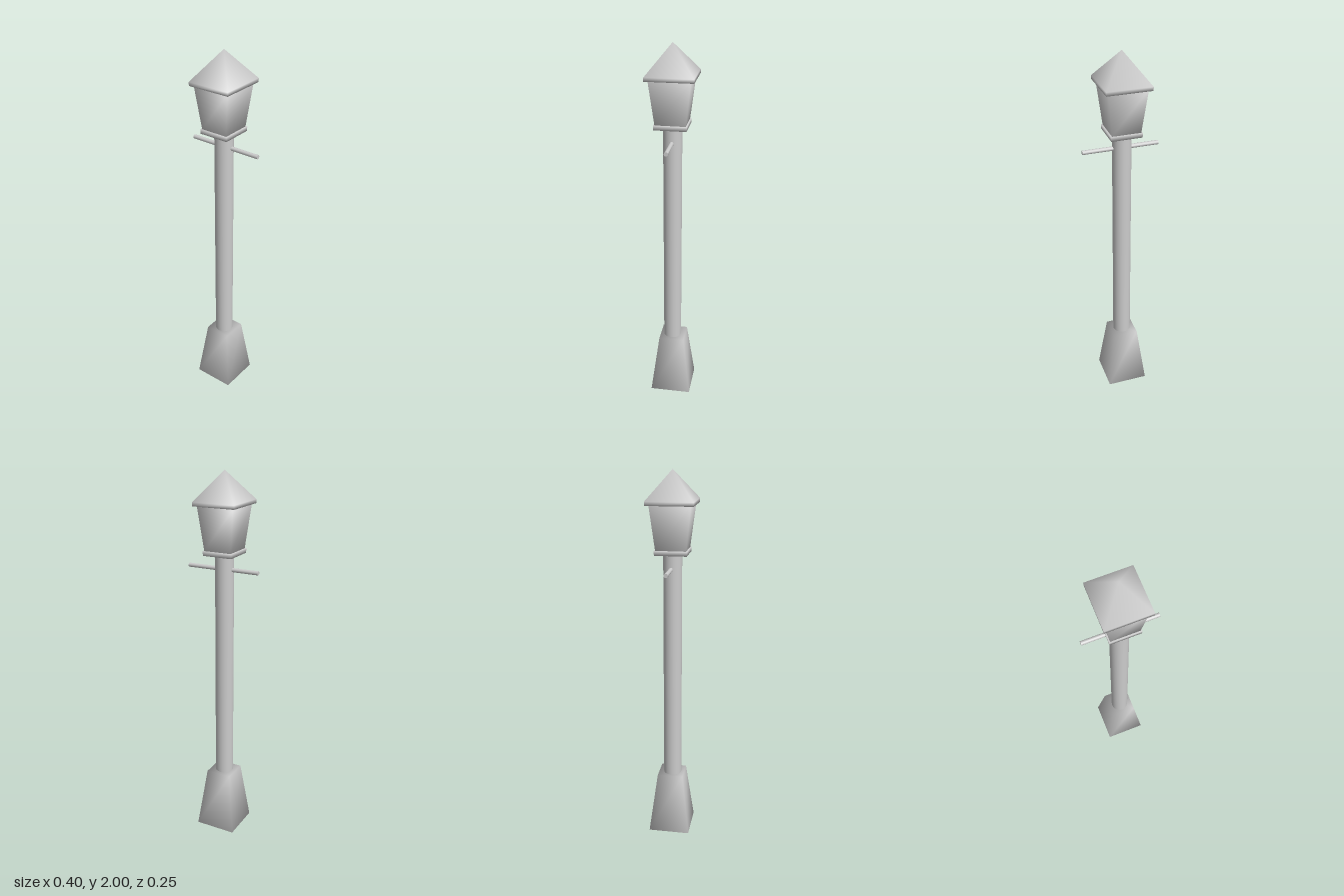
import * as THREE from 'three';
import { mergeVertices } from 'three/addons/utils/BufferGeometryUtils.js';

// Softly shaded solid through square rings [y, width, depth], closed at both ends
function squareLoft(rings) {
  const corners = [[1, 1], [1, -1], [-1, -1], [-1, 1]];
  const positions = [];
  const index = [];
  for (const [y, w, d] of rings) {
    for (const [sx, sz] of corners) positions.push(sx * w / 2, y, sz * d / 2);
  }
  for (let r = 0; r < rings.length - 1; r++) {
    for (let i = 0; i < 4; i++) {
      const a = r * 4 + i;
      const b = r * 4 + (i + 1) % 4;
      index.push(a, b, b + 4, a, b + 4, a + 4);
    }
  }
  const t = (rings.length - 1) * 4;
  index.push(0, 2, 1, 0, 3, 2);
  if (rings[rings.length - 1][1] > 0) index.push(t, t + 1, t + 2, t, t + 2, t + 3);
  const geometry = new THREE.BufferGeometry();
  geometry.setAttribute('position', new THREE.Float32BufferAttribute(positions, 3));
  geometry.setIndex(index);
  const merged = mergeVertices(geometry);
  merged.computeVertexNormals();
  return merged;
}

export function createModel() {
  const group = new THREE.Group();
  group.name = 'streetLamp';
  const material = new THREE.MeshStandardMaterial({ color: 0xcccccc });
  const axisX = -0.007;

  function add(name, geometry, x, y, z) {
    const mesh = new THREE.Mesh(geometry, material);
    mesh.name = name;
    mesh.position.set(x, y, z);
    group.add(mesh);
    return mesh;
  }

  // Tapered foot and round pole
  add('base', squareLoft([[0, 0.224, 0.224], [0.334, 0.14, 0.14]]), axisX, 0, -0.005);
  add('pole', new THREE.CylinderGeometry(0.049, 0.049, 1.28, 32), axisX, 0.95, -0.001);

  // Ladder rest passing through the pole
  const bar = add('crossbar', new THREE.CylinderGeometry(0.011, 0.011, 0.4, 12), 0, 1.506, -0.003);
  bar.rotation.z = Math.PI / 2;

  // Lantern head
  add('collar', squareLoft([[1.582, 0.16, 0.167], [1.606, 0.163, 0.17]]), axisX, 0, 0);
  add('lantern', squareLoft([[1.606, 0.149, 0.157], [1.832, 0.199, 0.21]]), axisX, 0, 0);
  add('roof', squareLoft([[1.831, 0.231, 0.245], [1.851, 0.231, 0.245], [2, 0, 0]]), axisX, 0, -0.001);

  return group;
}
